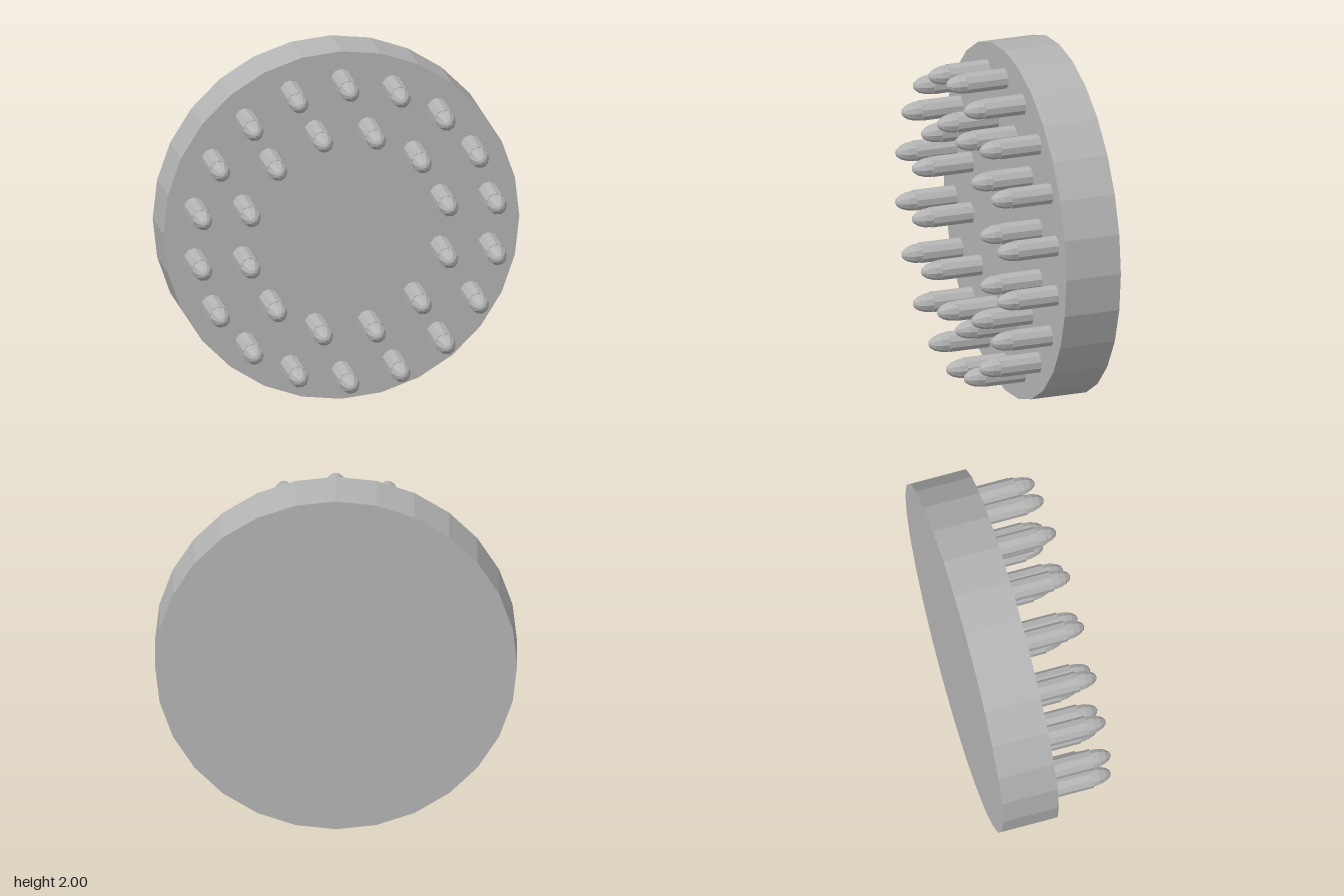
import * as THREE from 'three';

const grey = new THREE.MeshStandardMaterial({ color: 0xb4b4b4 });
grey.name = 'grey';

// Bakes one normal per face for crisp facets
function faceted(geometry) {
  const g = geometry.toNonIndexed();
  g.computeVertexNormals();
  return g;
}

const BACK = -0.335, FACE = -0.015, SHOULDER = 0.22, TIP = 0.33;

// Geometry shared by all pegs, pointing along +z
const shaftLength = SHOULDER - FACE;
const shaftGeometry = faceted(
  new THREE.CylinderGeometry(0.059, 0.059, shaftLength, 10)
    .rotateX(Math.PI / 2).translate(0, 0, FACE + shaftLength / 2));
const noseGeometry = faceted(
  new THREE.SphereGeometry(0.055, 10, 4, 0, Math.PI * 2, 0, Math.PI / 2)
    .scale(1, (TIP - SHOULDER) / 0.055, 1)
    .rotateX(Math.PI / 2).translate(0, 0, SHOULDER));

function makePeg() {
  const peg = new THREE.Group();
  peg.name = 'peg';
  const shaft = new THREE.Mesh(shaftGeometry, grey);
  shaft.name = 'pegShaft';
  const nose = new THREE.Mesh(noseGeometry, grey);
  nose.name = 'pegNose';
  peg.add(shaft, nose);
  return peg;
}

// Evenly spaced pegs, angles measured from the top
function makeRing(name, count, radius, offset) {
  const ring = new THREE.Group();
  ring.name = name;
  for (let i = 0; i < count; i++) {
    const a = offset + (i / count) * Math.PI * 2;
    const peg = makePeg();
    peg.position.set(Math.sin(a) * radius, Math.cos(a) * radius, 0);
    ring.add(peg);
  }
  ring.position.y = 1;
  return ring;
}

export function createModel() {
  const model = new THREE.Group();
  model.name = 'peggedDisc';

  // Round base plate
  const disc = new THREE.Mesh(faceted(
    new THREE.CylinderGeometry(1, 1, FACE - BACK, 28).rotateX(Math.PI / 2)), grey);
  disc.name = 'disc';
  disc.position.set(0, 1, (FACE + BACK) / 2);
  model.add(disc);

  // Two concentric rings of pegs
  model.add(makeRing('outerPegs', 18, 0.84, 0));
  model.add(makeRing('innerPegs', 12, 0.575, Math.PI / 12));
  return model;
}
